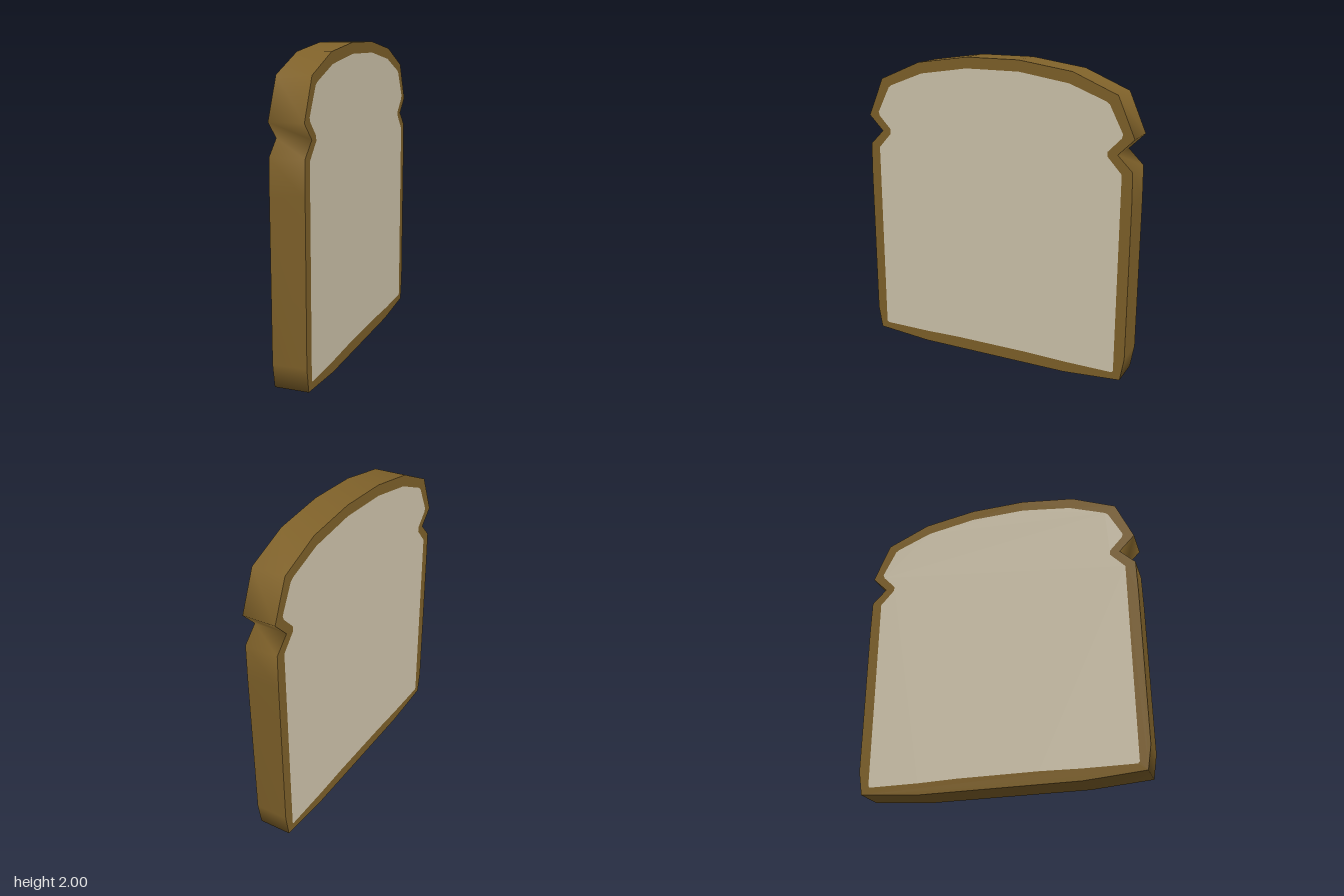
import * as THREE from 'three';

const HALF = 0.108; // half the slice thickness

// Mirror a half outline (listed bottom to top) into a closed counter-clockwise loop
function mirrored(half) {
  const right = half.map(([x, y]) => new THREE.Vector2(x, y));
  const left = half.map(([x, y]) => new THREE.Vector2(-x, y)).reverse();
  return [...right, ...left];
}

const outer = mirrored([
  [0.52, 0], [0.90, 0.03], [0.925, 0.18], [0.925, 1.17], [0.921, 1.385],
  [0.825, 1.48], [0.925, 1.58], [0.815, 1.83], [0.53, 1.95], [0.18, 2],
]);
const inner = mirrored([
  [0.26, 0.08], [0.52, 0.073], [0.845, 0.073], [0.855, 0.085], [0.855, 1.365],
  [0.763, 1.465], [0.763, 1.495], [0.845, 1.58], [0.853, 1.605],
  [0.765, 1.775], [0.745, 1.79], [0.51, 1.88], [0.18, 1.93],
]);

// Crust band around the slice, smooth along the outline
function rimGeometry(loop) {
  const positions = [], index = [], n = loop.length;
  loop.forEach((p, i) => {
    positions.push(p.x, p.y, -HALF, p.x, p.y, HALF);
    const a = 2 * i, b = 2 * ((i + 1) % n);
    index.push(a, b, b + 1, a, b + 1, a + 1);
  });
  const geometry = new THREE.BufferGeometry();
  geometry.setAttribute('position', new THREE.Float32BufferAttribute(positions, 3));
  geometry.setIndex(index);
  geometry.computeVertexNormals();
  return geometry;
}

export function createModel() {
  const crust = new THREE.MeshStandardMaterial({ color: 0x80622a });
  crust.name = 'crust brown';
  const crumb = new THREE.MeshStandardMaterial({ color: 0xd2c7ae });
  crumb.name = 'crumb cream';

  const slice = new THREE.Group();
  slice.name = 'breadSlice';
  const add = (name, geometry, material, turn) => {
    const mesh = new THREE.Mesh(geometry.rotateY(turn), material);
    mesh.name = name;
    slice.add(mesh);
  };

  add('crustRim', rimGeometry(outer), crust, Math.PI / 2);

  // Each flat side: a crust border around the crumb
  const border = new THREE.Shape(outer);
  border.holes.push(new THREE.Path(inner));
  for (const [side, turn] of [['left', Math.PI / 2], ['right', -Math.PI / 2]]) {
    add(side + 'CrustBorder', new THREE.ShapeGeometry(border).translate(0, 0, HALF), crust, turn);
    add(side + 'Crumb', new THREE.ShapeGeometry(new THREE.Shape(inner)).translate(0, 0, HALF), crumb, turn);
  }
  return slice;
}
